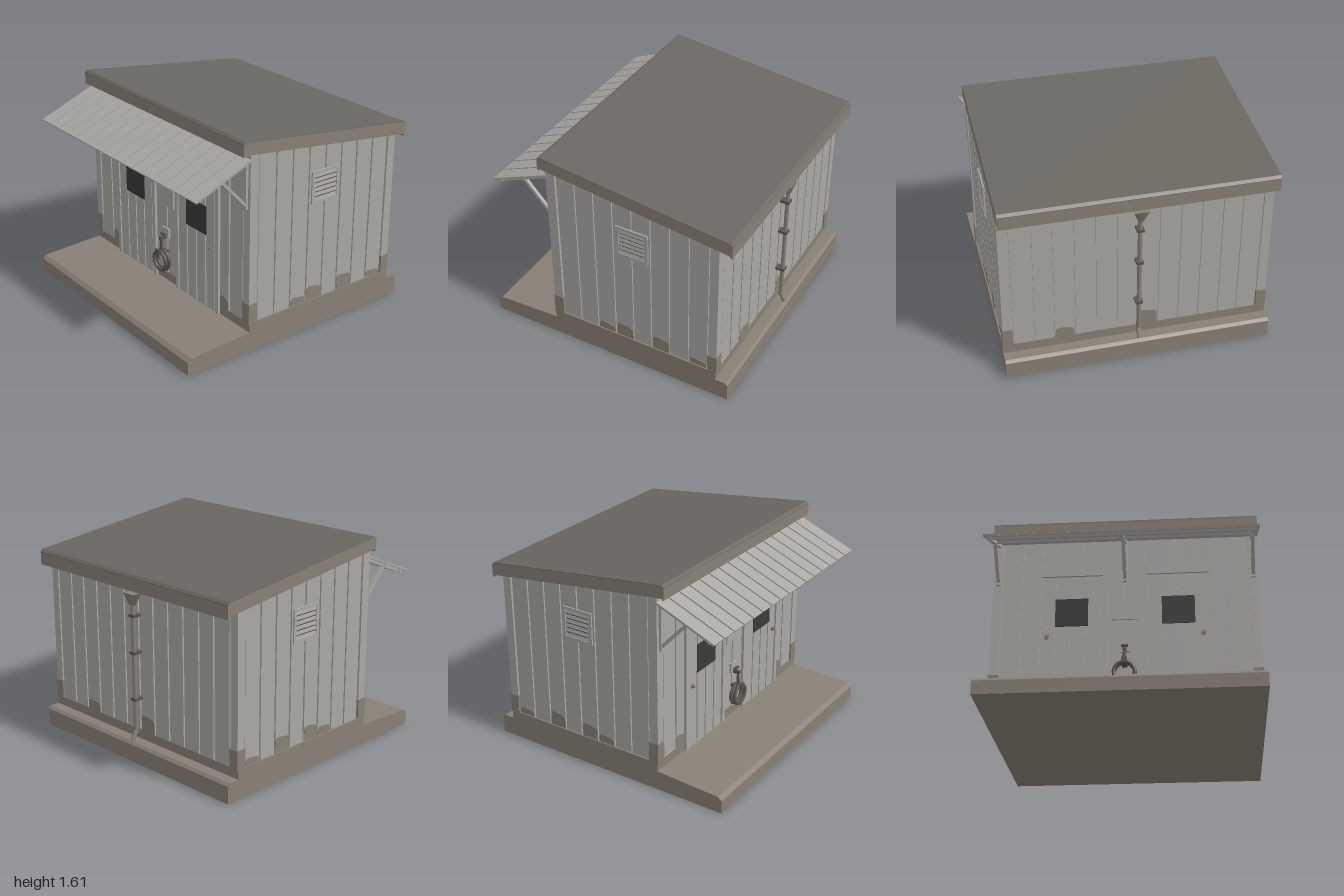
import * as THREE from 'three';

const mat = (name, color) => Object.assign(new THREE.MeshStandardMaterial({ color }), { name });

export function createModel() {
  const root = new THREE.Group();
  root.name = 'utilityShed';
  const wall = mat('greyBoards', 0xa9a8a4);
  const stone = mat('taupeConcrete', 0x888075);
  const roofDark = mat('roofSheet', 0x6a6761);
  const iron = mat('darkIron', 0x5b564d);
  const glass = mat('darkGlass', 0x3a3a3a);

  const add = (name, geo, material, x = 0, y = 0, z = 0, parent = root) => {
    const m = new THREE.Mesh(geo, material);
    m.name = name;
    m.position.set(x, y, z);
    parent.add(m);
    return m;
  };
  // Box given by its minimum and maximum on each axis
  const box = (name, material, x0, x1, y0, y1, z0, z1, parent = root) =>
    add(name, new THREE.BoxGeometry(x1 - x0, y1 - y0, z1 - z0), material,
      (x0 + x1) / 2, (y0 + y1) / 2, (z0 + z1) / 2, parent);
  // Profile of [z, y] points extruded along x
  const profile = (name, material, pts, width) => {
    const shape = new THREE.Shape(pts.map(p => new THREE.Vector2(...p)));
    const geo = new THREE.ExtrudeGeometry(shape, { depth: width, bevelEnabled: false });
    geo.rotateY(-Math.PI / 2).translate(width / 2, 0, 0);
    return add(name, geo, material);
  };
  // Square bar between two [y, z] points at a given x
  const bar = (name, x, a, b, w, t) => {
    const dy = b[0] - a[0], dz = b[1] - a[1];
    const m = add(name, new THREE.BoxGeometry(w, Math.hypot(dy, dz), t), wall, x, (a[0] + b[0]) / 2, (a[1] + b[1]) / 2);
    m.rotation.x = Math.atan2(dz, dy);
  };
  const eave = z => 1.5 - 0.125 * (0.46 - z);

  // Foundation with porch, plinth and rear step
  profile('foundation', stone, [[1, 0], [1, 0.1], [0.97, 0.125], [0.46, 0.15], [0.46, 0.22],
    [-0.9, 0.22], [-0.9, 0.15], [-0.98, 0.15], [-1, 0.13], [-1, 0]], 2);

  // Wall core
  profile('wallCore', wall, [[0.447, 0.2], [0.447, eave(0.447) + 0.03],
    [-0.887, eave(-0.887) + 0.03], [-0.887, 0.2]], 1.95);

  // Sloping roof, with eave lips and a dark sheet on top
  profile('roof', stone, [[0.525, 1.5], [0.525, 1.588], [0.505, 1.603], [-0.98, 1.423], [-1, 1.405],
    [-1, 1.31], [-0.988, 1.31], [-0.98, 1.328], [0.46, 1.505], [0.51, 1.51], [0.515, 1.495]], 2);
  profile('roofSheet', roofDark, [[0.526, 1.587], [0.526, 1.591], [0.506, 1.607], [-0.981, 1.427],
    [-1, 1.409], [-1, 1.405], [-0.98, 1.423], [0.505, 1.603]], 2);

  // Wall boards separated by narrow grooves
  const gap = 0.007;
  const sideSeams = [0.387, 0.23, 0.08, -0.072, -0.225, -0.375, -0.525, -0.678, -0.832];
  const endSeams = [0, 0.155, 0.31, 0.465, 0.62, 0.765, 0.922];
  for (const s of [1, -1]) {
    for (let i = 0; i < 8; i++) {
      const a = sideSeams[i] - gap, b = sideSeams[i + 1] + gap;
      const x = [s * 0.97, s * 0.988].sort((p, q) => p - q);
      box('sideBoard', wall, ...x, 0.215, eave((a + b) / 2) + 0.02, b, a);
    }
    for (let i = 0; i < 6; i++) {
      const x = [s * (endSeams[i] + gap), s * (endSeams[i + 1] - gap)].sort((p, q) => p - q);
      box('frontBoard', wall, ...x, 0.215, 1.52, 0.44, 0.459);
      box('backBoard', wall, ...x, 0.215, 1.35, -0.899, -0.88);
    }
    const c = [s * 0.925, s * 0.995].sort((p, q) => p - q);
    box('frontCorner', wall, ...c, 0.215, 1.52, 0.39, 0.463);
    box('backCorner', wall, ...c, 0.215, 1.35, -0.903, -0.835);
    const d = [s * 0.923, s * 0.999].sort((p, q) => p - q);
    box('frontCornerDirt', stone, ...d, 0.21, 0.37, 0.388, 0.467);
    box('backCornerDirt', stone, ...d, 0.21, 0.36, -0.907, -0.833);
  }

  // Dirt patches with rounded tops along the foot of the walls
  const dirt = (w, h, x, z, turn) => {
    const r = 0.035, s = new THREE.Shape();
    s.moveTo(-w / 2, 0);
    s.lineTo(w / 2, 0);
    s.lineTo(w / 2, h - r * 1.3);
    s.quadraticCurveTo(w / 2, h - 0.01, w / 2 - r, h - 0.01);
    s.lineTo(-w / 2 + r, h);
    s.quadraticCurveTo(-w / 2, h, -w / 2, h - r);
    const m = add('dirtPatch', new THREE.ExtrudeGeometry(s, { depth: 0.003, bevelEnabled: false, curveSegments: 4 }),
      stone, x, 0.215, z);
    m.rotation.y = turn;
  };
  for (const s of [1, -1]) {
    for (const [z, w, h] of [[0.005, 0.135, 0.07], [-0.148, 0.135, 0.115], [-0.45, 0.135, 0.12], [-0.755, 0.135, 0.06]])
      dirt(w, h, s * 0.988, z, s * Math.PI / 2);
    dirt(0.1, 0.1, s * 0.708, 0.459, 0);
  }
  dirt(0.14, 0.13, -0.08, -0.899, Math.PI);
  dirt(0.14, 0.09, 0.54, -0.899, Math.PI);

  // Louvred vents on both sides
  for (const s of [1, -1]) {
    const vent = new THREE.Group();
    vent.name = 'sideVent';
    vent.position.set(s * 0.985, 1.115, -0.225);
    vent.rotation.y = s * Math.PI / 2;
    root.add(vent);
    box('ventBack', iron, -0.11, 0.11, -0.11, 0.11, 0, 0.005, vent);
    for (const k of [1, -1]) {
      const x = [k * 0.105, k * 0.13].sort((p, q) => p - q);
      box('ventFrameSide', wall, ...x, -0.126, 0.126, 0, 0.014, vent);
      const y = [k * 0.103, k * 0.126].sort((p, q) => p - q);
      box('ventFrameRail', wall, -0.105, 0.105, ...y, 0, 0.014, vent);
    }
    for (let i = 0; i < 6; i++) {
      const slat = box('ventSlat', wall, -0.105, 0.105, -0.013, 0.013, 0.004, 0.008, vent);
      slat.position.y = -0.09 + i * 0.036;
      slat.rotation.x = -0.2;
    }
  }

  // Two plank doors with frame, window and knob
  for (const s of [1, -1]) {
    const door = new THREE.Group();
    door.name = 'door';
    door.position.x = s * 0.395;
    root.add(door);
    box('doorBack', wall, -0.23, 0.23, 0.15, 1.16, 0.45, 0.464, door);
    for (let i = 0; i < 4; i++) {
      const x = -0.222 + i * 0.1125;
      box('doorPlank', wall, x, x + 0.1, 0.152, 1.148, 0.455, 0.474, door);
    }
    box('doorPostA', wall, -0.263, -0.229, 0.148, 1.19, 0.45, 0.48, door);
    box('doorPostB', wall, 0.229, 0.263, 0.148, 1.19, 0.45, 0.48, door);
    box('doorLintel', wall, -0.229, 0.229, 1.155, 1.19, 0.45, 0.48, door);
    box('doorWindow', glass, -0.122, 0.122, 0.738, 0.962, 0.473, 0.48, door);
    box('knobPlate', stone, s * 0.18 - 0.015, s * 0.18 + 0.015, 0.64, 0.67, 0.47, 0.482, door);
    box('knob', stone, s * 0.18 - 0.009, s * 0.18 + 0.009, 0.646, 0.664, 0.48, 0.498, door);
  }

  // Blank notice plate, supply pipe and tap with a hose coil
  box('noticePlate', wall, -0.1, 0.1, 0.785, 0.93, 0.458, 0.472);
  box('supplyPipe', wall, -0.012, 0.012, 0.22, 0.79, 0.455, 0.468);
  box('tapPlate', wall, -0.04, 0.04, 0.52, 0.6, 0.458, 0.476);
  box('tapSpout', iron, -0.012, 0.012, 0.515, 0.54, 0.475, 0.53);
  box('tapHandle', iron, -0.025, 0.025, 0.553, 0.565, 0.485, 0.51);
  box('tapStem', iron, -0.006, 0.006, 0.535, 0.555, 0.492, 0.504);
  add('hoseDrop', new THREE.CylinderGeometry(0.011, 0.014, 0.12, 8), iron, 0, 0.465, 0.515);
  box('coilHook', iron, -0.02, 0.02, 0.4, 0.42, 0.458, 0.56);
  box('coilHookTip', iron, -0.02, 0.02, 0.4, 0.445, 0.55, 0.56);
  for (const z of [0.5, 0.532])
    add('hoseCoil', new THREE.TorusGeometry(0.077, 0.014, 6, 14), iron, 0, 0.342, z);

  // Awning of sixteen boards on a light frame
  const awning = new THREE.Group();
  awning.name = 'awning';
  awning.position.set(0, 1.47, 0.455);
  awning.rotation.x = 0.388;
  root.add(awning);
  box('awningSheet', wall, -0.998, 0.998, -0.012, -0.004, 0, 0.502, awning);
  for (let i = 0; i < 16; i++) {
    const x = -1 + i * 0.125;
    box('awningBoard', wall, x + (i ? 0.006 : 0), x + (i < 15 ? 0.119 : 0.125), -0.005, 0.006, 0, 0.505, awning);
  }
  for (const z of [0.24, 0.44]) box('awningPurlin', wall, -0.98, 0.98, -0.032, -0.01, z, z + 0.025, awning);
  for (const x of [-0.955, 0, 0.955]) {
    box('awningRafter', wall, x - 0.014, x + 0.014, -0.035, -0.01, 0, 0.48, awning);
    box('bracketPost', wall, x - 0.016, x + 0.016, 1.1, 1.46, 0.458, 0.482);
    bar('bracketStrut', x, [1.125, 0.472], [1.345, 0.675], 0.026, 0.022);
  }

  // Rain pipe on the rear wall with hopper, clips and outlet
  add('rainPipe', new THREE.CylinderGeometry(0.017, 0.017, 1, 8), stone, 0, 0.71, -0.948);
  const hopper = add('rainHopper', new THREE.CylinderGeometry(0.055, 0.02, 0.09, 4, 1).rotateY(Math.PI / 4),
    stone, 0, 1.235, -0.952);
  hopper.scale.x = 1.4;
  const outlet = new THREE.LineCurve3(new THREE.Vector3(0, 0.235, -0.945), new THREE.Vector3(0, 0.16, -0.985));
  add('rainOutlet', new THREE.TubeGeometry(outlet, 1, 0.018, 8), stone).material.side = THREE.DoubleSide;
  for (const y of [0.475, 0.83, 1.11])
    box('pipeClip', iron, -0.026, 0.026, y - 0.01, y + 0.01, -0.97, -0.89);

  return root;
}
